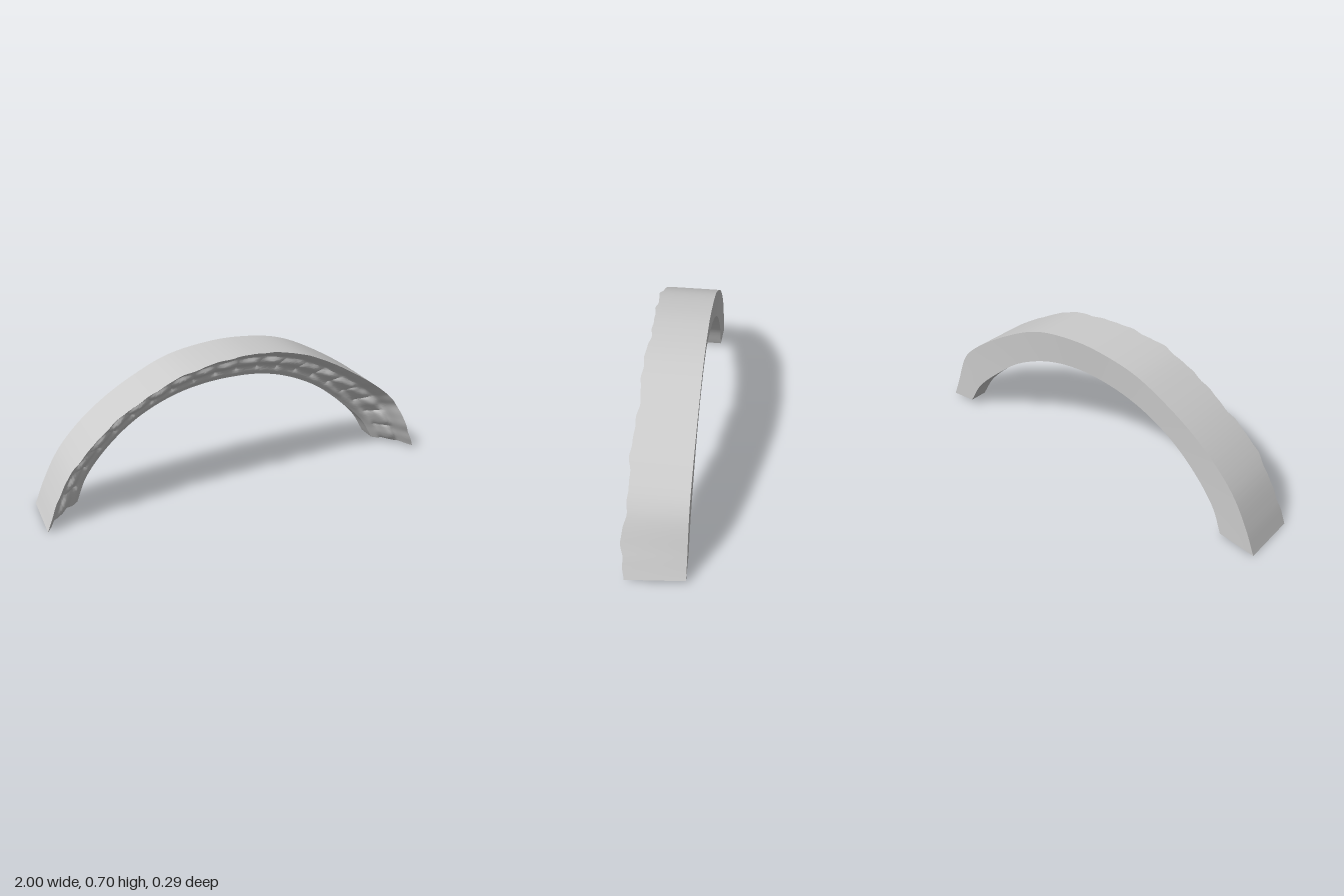
import * as THREE from 'three';
import { toCreasedNormals } from 'three/addons/utils/BufferGeometryUtils.js';

const { lerp, smoothstep } = THREE.MathUtils;
const curve = (pts) => new THREE.CatmullRomCurve3(pts.map(([x, y]) => new THREE.Vector3(x, y, 0)));

// Outer and inner edges of the arch, from its right foot to its left foot
const outer = curve([[-1, 0], [-0.95, 0.12], [-0.87, 0.265], [-0.765, 0.385], [-0.63, 0.495], [-0.47, 0.59],
  [-0.31, 0.66], [-0.12, 0.695], [0.05, 0.7], [0.28, 0.665], [0.49, 0.57], [0.76, 0.395], [0.86, 0.295], [0.95, 0.12], [1, 0.015]]);
const inner = curve([[-0.82, 0.02], [-0.765, 0.15], [-0.63, 0.31], [-0.47, 0.43], [-0.26, 0.515], [0, 0.545],
  [0.22, 0.515], [0.44, 0.42], [0.6, 0.3], [0.76, 0.15], [0.84, 0.025]]);

const SEGMENTS = 260, FRONT = 24, INNER = 4, BACK = 5, OUTER = 5, BEADS = 20;
const bump = (u, centre, width) => Math.exp(-(((u - centre) / width) ** 2));

// Worn, uneven front edge
const wear = (t) => 0.005 * Math.sin(41 * t + 1) + 0.003 * Math.sin(97 * t) + 0.002 * Math.sin(173 * t + 2)
  + 0.018 * bump(t, 0.4, 0.035) + 0.01 * bump(t, 0.94, 0.03);

// Carved front: a lip, a hollow with a row of beads, and a plain inner roll
function frontDepth(u, t, zInner) {
  const bead = Math.abs(Math.sin(Math.PI * BEADS * t)) ** 0.6;
  return lerp(zInner, 0.118 + wear(t), u)
    - 0.025 * Math.sin(Math.PI * u)
    - 0.015 * bump(u, 0.74, 0.09)
    + 0.02 * bead * bump(u, 0.52, 0.12)
    - 0.01 * (1 - bead) * bump(u, 0.32, 0.08)
    + 0.006 * bump(u, 0.15, 0.09);
}

// One cross-section as [u, z], u running from inner (0) to outer edge (1)
function section(t) {
  const foot = Math.abs(2 * t - 1);
  const zInner = -0.02 - 0.03 * foot, zInnerBack = -0.13 - 0.015 * foot, zBack = -0.142 - 0.008 * foot;
  const taper = 0.15 * smoothstep(t, 0.85, 1);
  const loop = [];
  for (let i = 0; i <= FRONT; i++) loop.push([1 - i / FRONT, frontDepth(1 - i / FRONT, t, zInner)]);
  const zLip = loop[0][1];
  for (let i = 1; i < INNER; i++) loop.push([0, lerp(loop[FRONT][1], zInnerBack, i / INNER)]);
  for (let i = 0; i <= BACK; i++) loop.push([(1 - taper) * i / BACK, lerp(zInnerBack, zBack, i / BACK)]);
  for (let i = 1; i < OUTER; i++) loop.push([1 - taper * (1 - i / OUTER), lerp(zBack, zLip, i / OUTER)]);
  return loop;
}

function archGeometry() {
  const pos = [], index = [];
  let n = 0;
  for (let i = 0; i <= SEGMENTS; i++) {
    const t = i / SEGMENTS;
    const a = inner.getPointAt(t), b = outer.getPointAt(t);
    const loop = section(t);
    n = loop.length;
    for (const [u, z] of loop) pos.push(lerp(a.x, b.x, u), lerp(a.y, b.y, u), z);
  }
  for (let i = 0; i < SEGMENTS; i++) {
    for (let j = 0; j < n; j++) {
      const k = (j + 1) % n, p = i * n, q = p + n;
      index.push(p + j, p + k, q + j, p + k, q + k, q + j);
    }
  }
  // Closed feet, slightly hollow
  for (const [ring, flip] of [[0, true], [SEGMENTS, false]]) {
    const t = ring / SEGMENTS, c = pos.length / 3;
    const m = inner.getPointAt(t).lerp(outer.getPointAt(t), 0.5);
    pos.push(m.x, m.y + 0.006, -0.06);
    for (let j = 0; j < n; j++) {
      const a = ring * n + j, b = ring * n + (j + 1) % n;
      index.push(c, flip ? b : a, flip ? a : b);
    }
  }
  const g = new THREE.BufferGeometry();
  g.setAttribute('position', new THREE.Float32BufferAttribute(pos, 3));
  g.setIndex(index);
  return toCreasedNormals(g, 0.7);
}

export function createModel() {
  const group = new THREE.Group();
  group.name = 'arch';
  const moulding = new THREE.Mesh(archGeometry(), new THREE.MeshStandardMaterial({ color: 0xcccccc }));
  moulding.name = 'carvedArchMoulding';
  group.add(moulding);
  return group;
}
